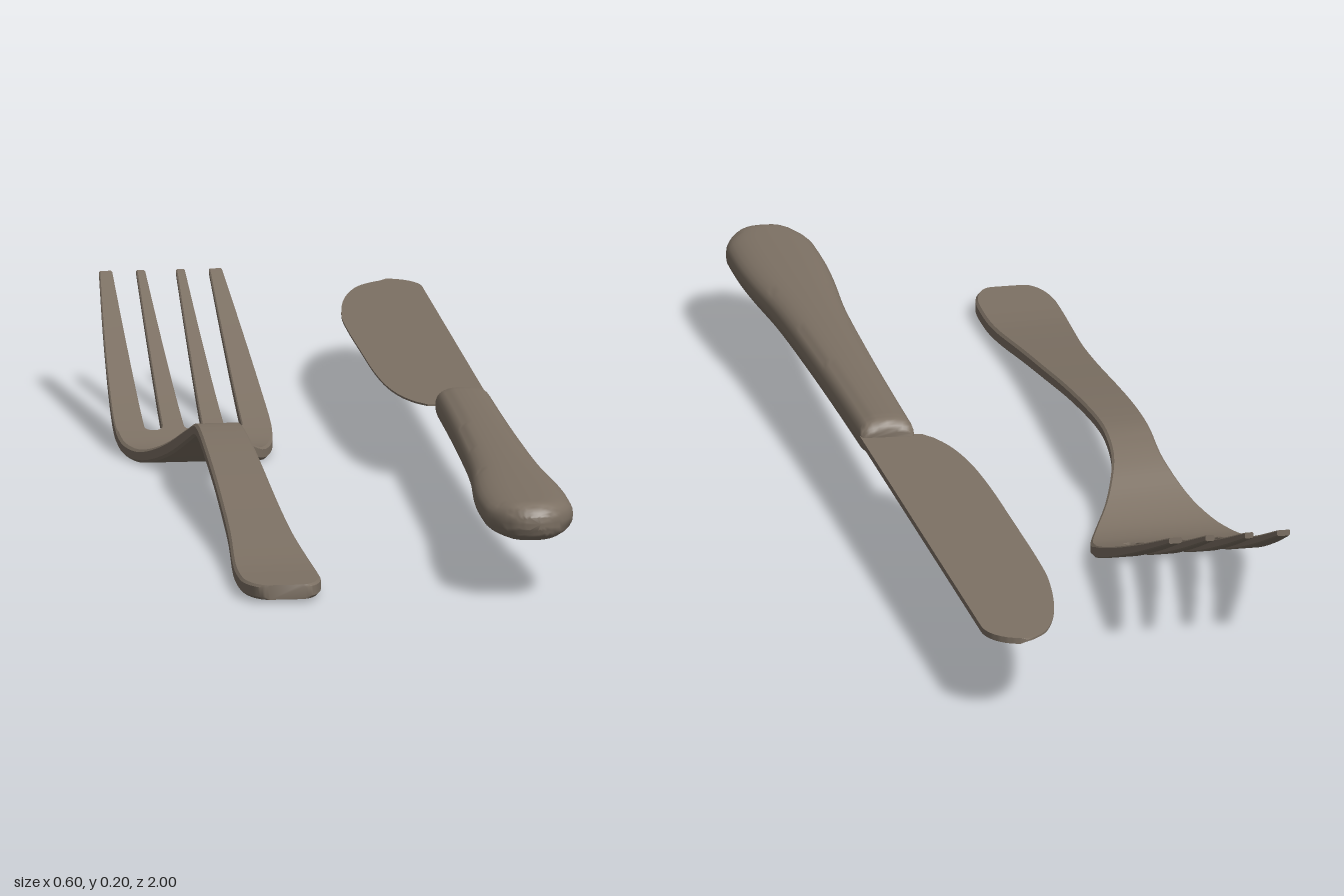
import * as THREE from 'three';
import { toCreasedNormals } from 'three/addons/utils/BufferGeometryUtils.js';

const steel = new THREE.MeshStandardMaterial({ color: 0x7d7164 });

// Smooth interpolation through [z, value] pairs listed in falling z
function profile(pts) {
  const slope = (i) => {
    const a = pts[Math.max(i - 1, 0)], b = pts[Math.min(i + 1, pts.length - 1)];
    return (b[1] - a[1]) / (b[0] - a[0]);
  };
  return (z) => {
    let i = 0;
    while (i < pts.length - 2 && z < pts[i + 1][0]) i++;
    const [z0, v0] = pts[i], [z1, v1] = pts[i + 1], d = z1 - z0;
    const t = THREE.MathUtils.clamp((z - z0) / d, 0, 1), u = 1 - t;
    return v0 * (1 + 2 * t) * u * u + v1 * t * t * (3 - 2 * t)
      + d * t * u * (slope(i) * u - slope(i + 1) * t);
  };
}

// Stations from z0 down to z1, packed closer at rounded ends
function stations(z0, z1, n, easeStart = false, easeEnd = false) {
  return Array.from({ length: n + 1 }, (_, i) => {
    let t = i / n;
    if (easeStart && easeEnd) t = (1 - Math.cos(Math.PI * t)) / 2;
    else if (easeStart) t = t * t;
    else if (easeEnd) t = 1 - (1 - t) ** 2;
    return z0 + (z1 - z0) * t;
  });
}

// Quarter-ellipse rounding: 0 at distance 0, 1 beyond length r
const round = (d, r) => Math.sqrt(Math.max(0, 1 - (1 - THREE.MathUtils.clamp(d / r, 0, 1)) ** 2));

// Loft convex rings (counter-clockwise from +z) along falling z
function loft(name, zs, ring, capStart = true, capEnd = true, crease = 0.6) {
  const pos = [], index = [];
  let n = 0;
  for (const z of zs) {
    const r = ring(z);
    n = r.length;
    for (const [x, y] of r) pos.push(x, y, z);
  }
  const last = (zs.length - 1) * n;
  for (let i = 0; i < last; i += n) {
    for (let j = 0; j < n; j++) {
      const k = (j + 1) % n;
      index.push(i + j, i + n + j, i + k, i + k, i + n + j, i + n + k);
    }
  }
  for (let j = 1; j < n - 1; j++) {
    if (capStart) index.push(0, j, j + 1);
    if (capEnd) index.push(last, last + j + 1, last + j);
  }
  const g = new THREE.BufferGeometry();
  g.setAttribute('position', new THREE.Float32BufferAttribute(pos, 3));
  g.setIndex(index);
  const mesh = new THREE.Mesh(toCreasedNormals(g, crease), steel);
  mesh.name = name;
  return mesh;
}

// Flat bar section with bevelled corners, bevel set per side
const bar = (l, r, y, h, cl, cr) => [
  [l + cl, y - h], [r - cr, y - h], [r, y - h + cr], [r, y + h - cr],
  [r - cr, y + h], [l + cl, y + h], [l, y + h - cl], [l, y - h + cl],
];

function createFork() {
  const fork = new THREE.Group();
  fork.name = 'fork';
  const cx = -0.174, end = 0.957, root = -0.307, tip = -0.77;
  const width = profile([[0.96, 0.064], [0.8, 0.065], [0.6, 0.052], [0.4, 0.045], [0.2, 0.041],
    [0, 0.038], [-0.06, 0.043], [-0.13, 0.067], [-0.2, 0.101], [-0.26, 0.121], [-0.32, 0.127],
    [-0.42, 0.124], [-0.6, 0.113], [-0.77, 0.1]]);
  const height = profile([[0.96, 0.019], [0.8, 0.018], [0.7, 0.026], [0.5, 0.051], [0.3, 0.079],
    [0.15, 0.096], [0.05, 0.101], [0, 0.095], [-0.06, 0.074], [-0.13, 0.038], [-0.18, 0.018],
    [-0.22, 0.0115], [-0.28, 0.017], [-0.4, 0.053], [-0.6, 0.129], [-0.77, 0.199]]);
  const thick = profile([[0.96, 0.012], [0.2, 0.01], [-0.2, 0.0105], [-0.77, 0.005]]);
  const half = (z) => {
    const s = (height(z + 0.005) - height(z - 0.005)) / 0.01;
    return thick(z) * Math.sqrt(1 + s * s);
  };

  // Handle, neck and head in one piece
  const zs = [...stations(end, 0.87, 12, true), ...stations(0.85, root, 70)];
  fork.add(loft('forkHandleAndHead', zs, (z) => {
    const w = width(z) * (0.45 + 0.55 * round(end - z, 0.08));
    return bar(cx - w, cx + w, height(z), half(z), 0.004, 0.004);
  }, true, false));

  // Slot centre and half width, opening from a round root
  const open = (z) => round(root - z, 0.018);
  const along = (z) => (root - z) / (root - tip);
  const slots = [-1, 0, 1].map((k) => (z) => {
    const t = along(z), w = (k ? 0.014 + 0.0055 * t : 0.014 + 0.011 * t) * open(z);
    const c = cx + k * (0.065 - 0.006 * t);
    return [c - w, c + w];
  });

  // Four tines
  const tineZ = [...stations(root, -0.325, 8, true), ...stations(-0.34, tip, 24)];
  for (let i = 0; i < 4; i++) {
    fork.add(loft('tine' + (i + 1), tineZ, (z) => {
      const l = i === 0 ? cx - width(z) : slots[i - 1](z)[1];
      const r = i === 3 ? cx + width(z) : slots[i](z)[0];
      const c = 0.002 * open(z);
      return bar(l, r, height(z), half(z), i === 0 ? 0.004 - c : c, i === 3 ? 0.004 - c : c);
    }, false, true));
  }
  return fork;
}

function createKnife() {
  const knife = new THREE.Group();
  knife.name = 'knife';
  const cy = 0.129, cx = 0.225;

  // Handle: soft oval section, wider toward the round butt
  const width = profile([[1, 0.07], [0.85, 0.074], [0.75, 0.07], [0.6, 0.058], [0.4, 0.051],
    [0.2, 0.047], [0, 0.045]]);
  const zs = [...stations(0.998, 0.9, 14, true), ...stations(0.88, 0.04, 36),
    ...stations(0.03, 0, 6, false, true)];
  knife.add(loft('knifeHandle', zs, (z) => {
    const w = width(z) * round(0.999 - z, 0.09) * (0.9 + 0.1 * round(z, 0.02));
    const h = 0.0315 * round(1.0 - z, 0.035) * (0.35 + 0.65 * round(z, 0.025));
    return Array.from({ length: 28 }, (_, j) => {
      const a = (j / 28) * Math.PI * 2, c = Math.cos(a), s = Math.sin(a);
      return [cx + w * Math.sign(c) * Math.abs(c) ** 0.7, cy + h * Math.sign(s) * Math.abs(s) ** 0.8];
    });
  }, true, true, 0.9));

  // Blade: straight spine at +x, curved thin edge at -x
  const edge = profile([[0.01, 0.168], [-0.01, 0.154], [-0.06, 0.135], [-0.14, 0.121], [-0.25, 0.114],
    [-0.4, 0.112], [-0.68, 0.112], [-0.78, 0.121], [-0.87, 0.137], [-0.94, 0.159], [-1, 0.19]]);
  const bladeZ = [...stations(0.01, -0.88, 40), ...stations(-0.89, -0.9995, 16, false, true)];
  knife.add(loft('blade', bladeZ, (z) => {
    const mid = 0.212, l = mid - (mid - edge(z)) * round(1 + z, 0.04);
    const r = mid + (0.27 - mid) * round(1 + z, 0.07);
    return [[l, cy - 0.0015], [r, cy - 0.005], [r, cy + 0.005], [l, cy + 0.0015]];
  }));
  return knife;
}

export function createModel() {
  const model = new THREE.Group();
  model.name = 'cutlery';
  model.add(createFork(), createKnife());
  return model;
}
